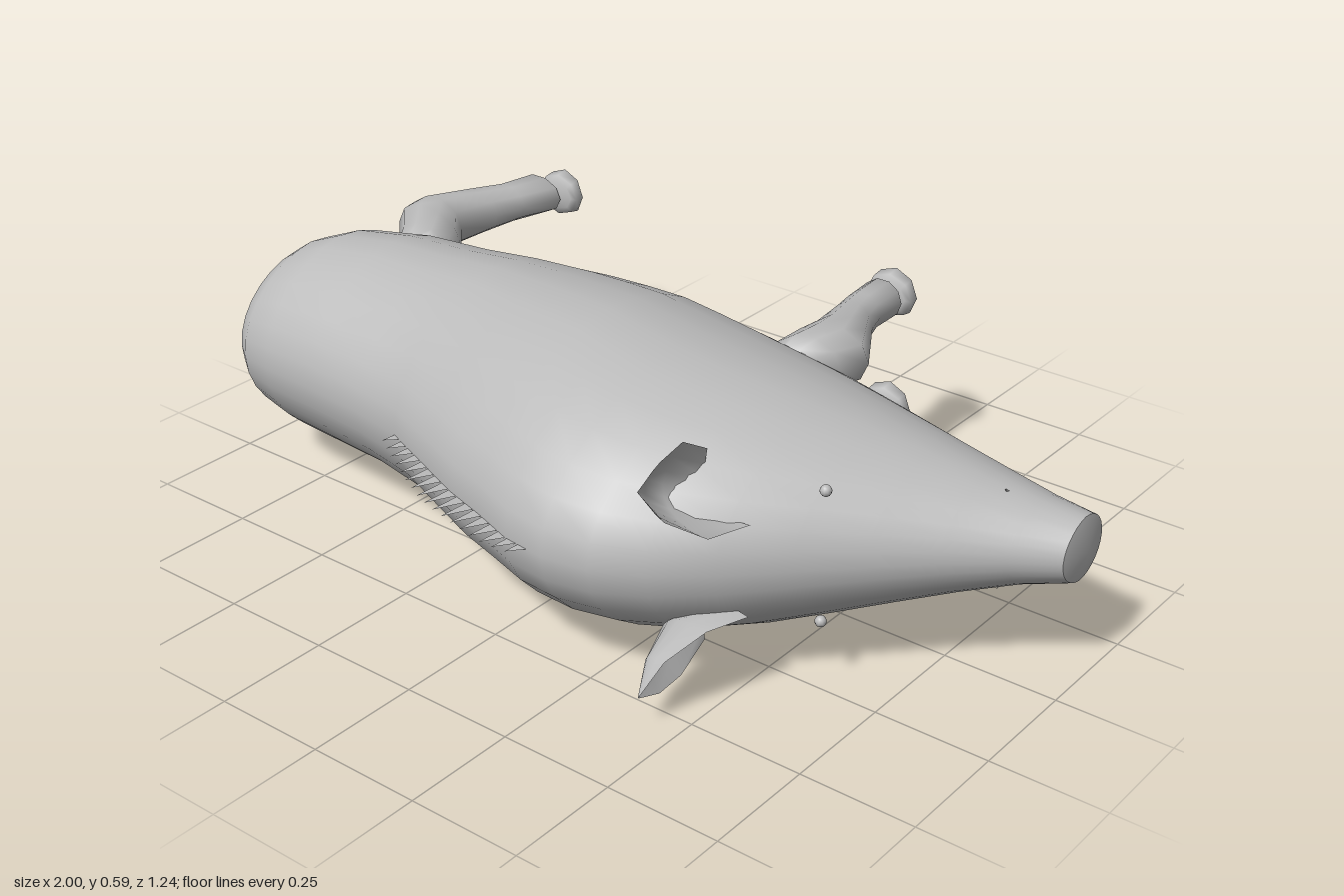
import * as THREE from 'three';

const MID = 0.3; // height of the plane of symmetry: the animal lies on its side

// Skin closed rings of points, with optional end points closing them into fans
function loft(rings, startPoint, endPoint) {
  const n = rings[0].length, pos = [], idx = [];
  rings.forEach(r => r.forEach(p => pos.push(...p)));
  for (let i = 0; i < rings.length - 1; i++) {
    for (let j = 0; j < n; j++) {
      const k = (j + 1) % n;
      const a = i * n + j, b = i * n + k, c = b + n, d = a + n;
      idx.push(a, b, c, a, c, d);
    }
  }
  const fan = (point, first, flip) => {
    const centre = pos.length / 3;
    pos.push(...point);
    for (let j = 0; j < n; j++) {
      const a = first + j, b = first + (j + 1) % n;
      idx.push(centre, flip ? b : a, flip ? a : b);
    }
  };
  if (startPoint) fan(startPoint, 0, true);
  if (endPoint) fan(endPoint, (rings.length - 1) * n, false);
  const g = new THREE.BufferGeometry();
  g.setAttribute('position', new THREE.Float32BufferAttribute(pos, 3));
  g.setIndex(idx);
  g.computeVertexNormals();
  return g;
}

const around = (n, f) => Array.from({ length: n }, (_, i) => f(i / n * Math.PI * 2));

// Elliptical ring across the body: belly and back are z limits, w is half width
const bodyRing = ([x, belly, back, w]) => around(28, a => [
  x,
  MID + Math.cos(a) * w * (1 - 0.1 * Math.max(0, Math.sin(a))),
  (belly + back) / 2 + Math.sin(a) * (back - belly) / 2,
]);

// Ring across a leg or tail that runs towards -z; tilt slants it along x
const limbRing = (y, n) => ([x, z, rx, ry, tilt = 0]) => around(n, a => [
  x + Math.cos(a) * rx, y - Math.sin(a) * ry, z + Math.cos(a) * tilt,
]);

export function createModel() {
  const model = new THREE.Group();
  const hide = new THREE.MeshStandardMaterial({ color: 0xbbbbbb, side: THREE.DoubleSide });
  hide.name = 'grey hide';
  const add = (name, geometry, parent = model) => {
    const m = new THREE.Mesh(geometry, hide);
    m.name = name;
    parent.add(m);
    return m;
  };

  // Body and head: x, belly z, back z, half width
  const sections = [
    [-0.99, 0.04, 0.2, 0.055], [-0.97, -0.01, 0.255, 0.12], [-0.93, -0.06, 0.305, 0.17],
    [-0.88, -0.1, 0.34, 0.205], [-0.8, -0.15, 0.352, 0.235], [-0.66, -0.195, 0.36, 0.25],
    [-0.5, -0.22, 0.375, 0.255], [-0.36, -0.24, 0.4, 0.27], [-0.2, -0.26, 0.465, 0.285],
    [-0.1, -0.267, 0.505, 0.292], [0, -0.27, 0.535, 0.296], [0.1, -0.265, 0.57, 0.29],
    [0.2, -0.257, 0.582, 0.28], [0.3, -0.245, 0.565, 0.267], [0.4, -0.23, 0.515, 0.25],
    [0.5, -0.215, 0.435, 0.223], [0.6, -0.2, 0.335, 0.19], [0.7, -0.187, 0.235, 0.155],
    [0.8, -0.175, 0.14, 0.12], [0.9, -0.163, 0.055, 0.088], [0.985, -0.155, -0.005, 0.07],
  ];
  add('body', loft(sections.map(bodyRing), [-1, MID, 0.12]));

  // Flat snout disc with a slightly raised middle
  const snoutRing = bodyRing(sections[sections.length - 1]);
  add('snoutDisc', loft([snoutRing], null, [1, MID, -0.08]));

  // Legs: x, z, half length, half width, tilt
  const frontLeg = [
    [0.27, -0.13, 0.05, 0.05, -0.01], [0.275, -0.17, 0.075, 0.065, -0.02],
    [0.29, -0.24, 0.09, 0.068, -0.01], [0.27, -0.31, 0.065, 0.06, -0.015],
    [0.24, -0.4, 0.05, 0.05], [0.225, -0.46, 0.047, 0.045], [0.22, -0.545, 0.05, 0.046, 0],
  ];
  const hindLeg = [
    [-0.735, -0.065, 0.06, 0.05, -0.01], [-0.75, -0.11, 0.09, 0.065, 0.01],
    [-0.81, -0.19, 0.11, 0.068, 0.01], [-0.85, -0.25, 0.075, 0.065, -0.01],
    [-0.825, -0.36, 0.062, 0.055, -0.01], [-0.8, -0.45, 0.055, 0.046],
    [-0.78, -0.545, 0.068, 0.046],
  ];
  const makeLeg = (name, path, y, hoofX) => {
    const leg = new THREE.Group();
    leg.name = name;
    model.add(leg);
    const [first, last] = [path[0], path[path.length - 1]];
    add('shank', loft(path.map(limbRing(y, 10)),
      [first[0], y, first[1] + 0.01], [last[0], y, last[1] - 0.008]), leg);
    // Wedge-shaped hoof
    const hoof = [
      [hoofX, -0.562, 0.045, 0.035], [hoofX, -0.568, 0.06, 0.05, 0.003],
      [hoofX, -0.595, 0.06, 0.056, 0.006], [hoofX - 0.01, -0.615, 0.045, 0.042, 0.01],
    ];
    add('hoof', loft(hoof.map(limbRing(y, 8)),
      [hoofX, y, -0.55], [hoofX - 0.01, y, -0.617]), leg);
  };

  // Cupped ear: each row runs inner edge, back, outer edge (y from mid plane)
  const earRows = [
    [[0.54, 0.1, 0.38], [0.4, 0.07, 0.37], [0.42, 0.21, 0.355]],
    [[0.51, 0.1, 0.47], [0.32, 0.1, 0.45], [0.42, 0.255, 0.43]],
    [[0.465, 0.15, 0.54], [0.36, 0.16, 0.515], [0.43, 0.25, 0.51]],
    [[0.435, 0.22, 0.58], [0.432, 0.22, 0.58], [0.435, 0.222, 0.579]],
  ];
  const earGeometry = side => {
    const cols = 8, pos = [], idx = [];
    earRows.forEach(row => {
      const pts = row.map(([x, y, z]) => new THREE.Vector3(x, MID + side * y, z));
      new THREE.QuadraticBezierCurve3(...pts).getPoints(cols).forEach(p => pos.push(p.x, p.y, p.z));
    });
    for (let i = 0; i < earRows.length - 1; i++) {
      for (let j = 0; j < cols; j++) {
        const a = i * (cols + 1) + j, b = a + 1, c = b + cols + 1, d = a + cols + 1;
        if (side > 0) idx.push(a, b, c, a, c, d);
        else idx.push(a, c, b, a, d, c);
      }
    }
    const g = new THREE.BufferGeometry();
    g.setAttribute('position', new THREE.Float32BufferAttribute(pos, 3));
    g.setIndex(idx);
    g.computeVertexNormals();
    return g;
  };

  // Paired parts on both sides of the mid plane
  for (const [side, label] of [[1, 'upper'], [-1, 'lower']]) {
    makeLeg(label + 'FrontLeg', frontLeg, MID + side * 0.14, 0.222);
    makeLeg(label + 'HindLeg', hindLeg, MID + side * 0.14, -0.738);
    add(label + 'Ear', earGeometry(side));

    const eye = add(label + 'Eye', new THREE.SphereGeometry(0.012, 10, 8));
    eye.position.set(0.617, MID + side * 0.143, 0.25);

    const tusk = add(label + 'Tusk', new THREE.ConeGeometry(0.01, 0.045, 6));
    tusk.position.set(0.846, MID + side * 0.097, -0.03);
    tusk.rotation.x = side > 0 ? 0.9 : Math.PI - 0.9;
  }

  // Tail: thin root widening into a blunt tassel
  const tail = [
    [-0.968, 0.05, 0.012, 0.012], [-0.977, 0.01, 0.012, 0.012], [-0.973, -0.02, 0.013, 0.013],
    [-0.965, -0.04, 0.018, 0.017], [-0.955, -0.1, 0.02, 0.018],
    [-0.942, -0.165, 0.026, 0.02, -0.008], [-0.94, -0.18, 0.02, 0.014, -0.008],
  ];
  add('tail', loft(tail.map(limbRing(MID, 8)), [-0.965, MID, 0.055], [-0.938, MID, -0.184]));

  // Mane: thin bristles along the ridge of the back
  const ridge = x => {
    const i = sections.findIndex(s => s[0] >= x);
    const [p, q] = [sections[i - 1], sections[i]];
    return p[2] + (q[2] - p[2]) * (x - p[0]) / (q[0] - p[0]);
  };
  const mane = new THREE.Group();
  mane.name = 'mane';
  model.add(mane);
  for (let i = 0; i < 17; i++) {
    const x = -0.34 + i * 0.031, z = ridge(x);
    const long = 0.018 + 0.045 * Math.sin(Math.PI * (i + 1) / 19);
    const bristle = new THREE.Shape([
      new THREE.Vector2(x - 0.018, z - 0.03), new THREE.Vector2(x + 0.018, z - 0.015),
      new THREE.Vector2(x - 0.022, z + long),
    ]);
    const g = new THREE.ShapeGeometry(bristle);
    g.rotateX(Math.PI / 2);
    g.translate(0, MID, 0);
    add('bristle', g, mane);
  }
  return model;
}
